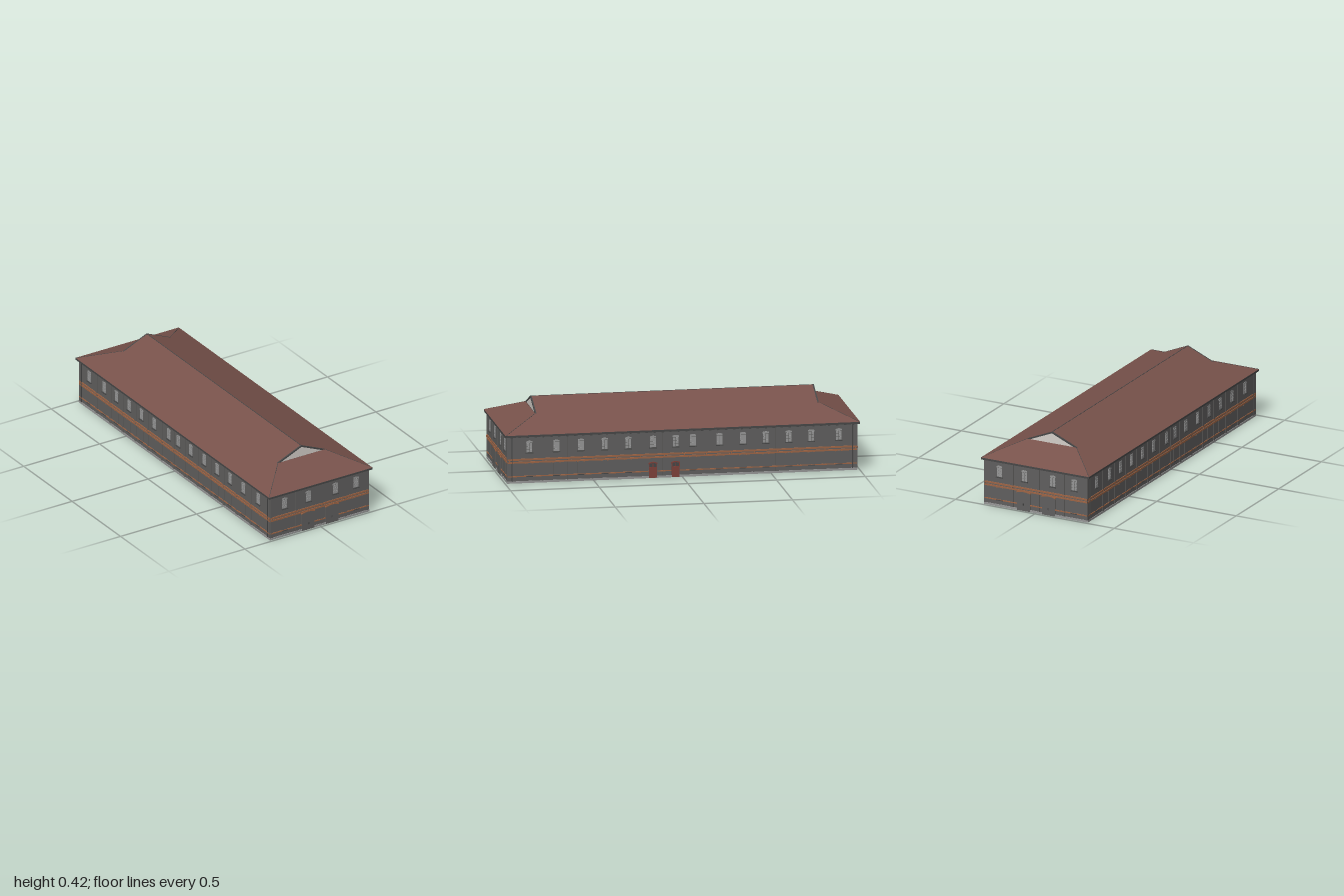
import * as THREE from 'three';

const material = (name, color, side = THREE.FrontSide) => {
  const m = new THREE.MeshStandardMaterial({ color, side });
  m.name = name;
  return m;
};
const mats = {
  wall: material('grey wall', 0x605f5e),
  dark: material('dark trim', 0x474747),
  roof: material('red brown roof', 0x78524b, THREE.DoubleSide),
  brick: material('orange brick', 0x9d6546),
  pale: material('light grey', 0x969696),
  gable: material('pale gable', 0xd4cfc9, THREE.DoubleSide),
  door: material('red door', 0x7f4039),
};

const HX = 0.324, HZ = 0.985;            // half sizes of the walls
const EX = 0.34, EZ = 1, EY = 0.275;     // eaves
const RY = 0.42, GX = 0.155, GY = 0.354, GZ = 0.8; // ridge and half gables

function add(parent, name, geometry, mat, x = 0, y = 0, z = 0) {
  const mesh = new THREE.Mesh(geometry, mat);
  mesh.name = name;
  mesh.position.set(x, y, z);
  parent.add(mesh);
  return mesh;
}

// Box on a facade: u across, y from y0 to y1, standing out by depth
function plate(parent, name, mat, u, y0, y1, width, depth) {
  return add(parent, name, new THREE.BoxGeometry(width, y1 - y0, depth), mat, u, (y0 + y1) / 2, depth / 2);
}

// Plate with a segmental arch top, and optionally an arched underside
function arched(parent, name, mat, u, y0, ySide, yTop, width, depth, underside = false) {
  const w = width / 2, s = new THREE.Shape();
  s.moveTo(-w, y0);
  if (underside) s.quadraticCurveTo(0, y0 + 2 * (yTop - ySide), w, y0);
  else s.lineTo(w, y0);
  s.lineTo(w, ySide);
  s.quadraticCurveTo(0, 2 * yTop - ySide, -w, ySide);
  s.closePath();
  return add(parent, name, new THREE.ExtrudeGeometry(s, { depth, bevelEnabled: false, curveSegments: 8 }), mat, u, 0, 0);
}

// Upper window: two columns of panes, arched head lights and a sill
function upperWindow(parent, u) {
  const g = new THREE.Group();
  g.name = 'upperWindow';
  g.position.x = u;
  parent.add(g);
  for (const s of [-1, 1]) {
    for (let r = 0; r < 3; r++) plate(g, 'pane', mats.pale, s * 0.0085, 0.175 + r * 0.0175, 0.191 + r * 0.0175, 0.015, 0.002);
  }
  arched(g, 'archHead', mats.pale, 0, 0.2285, 0.236, 0.24, 0.035, 0.002);
  plate(g, 'sill', mats.dark, 0, 0.169, 0.173, 0.042, 0.007);
}

// Blind ground floor window with sill and brick arch
function lowerWindow(parent, u) {
  arched(parent, 'blindWindow', mats.wall, u, 0.04, 0.107, 0.112, 0.036, 0.002);
  arched(parent, 'blindWindowArch', mats.brick, u, 0.109, 0.113, 0.117, 0.044, 0.003, true);
  plate(parent, 'lowerSill', mats.dark, u, 0.035, 0.039, 0.04, 0.007);
}

function facade(parent, name, halfWidth, angle, distance, layout) {
  const g = new THREE.Group();
  g.name = name;
  g.rotation.y = angle;
  g.position.set(Math.sin(angle) * distance, 0, Math.cos(angle) * distance);
  parent.add(g);
  const width = halfWidth * 2;
  plate(g, 'upperBrickBand', mats.brick, 0, 0.129, 0.139, width, 0.004);
  plate(g, 'lowerBrickBand', mats.brick, 0, 0.113, 0.1225, width, 0.004);

  // Thin band runs between the doors
  let from = -halfWidth;
  for (const u of [...layout.doors].sort((a, b) => a - b).concat(halfWidth + layout.doorWidth / 2)) {
    const to = u - layout.doorWidth / 2;
    plate(g, 'thinBrickBand', mats.brick, (from + to) / 2, 0.0355, 0.0415, to - from, 0.004);
    from = u + layout.doorWidth / 2;
  }

  layout.windows.forEach((u) => upperWindow(g, u));
  layout.blind.forEach((u) => lowerWindow(g, u));
  for (const u of layout.pilasters) {
    plate(g, 'pilaster', mats.wall, u, 0.012, 0.264, 0.017, 0.003);
    plate(g, 'wallAnchor', mats.brick, u, 0.121, 0.131, 0.005, 0.006);
  }
  for (const u of layout.doors) {
    if (layout.gates) {
      arched(g, 'gate', mats.wall, u, 0.001, 0.105, 0.113, layout.doorWidth, 0.005);
      arched(g, 'gateArch', mats.brick, u, 0.104, 0.11, 0.118, layout.doorWidth + 0.006, 0.006, true);
      for (const s of [-1, 1]) plate(g, 'gateHandle', mats.dark, u + s * 0.003, 0.033, 0.046, 0.002, 0.008);
    } else {
      plate(g, 'doorLeaf', mats.door, u, 0.001, 0.062, 0.044, 0.005);
      arched(g, 'doorFanlight', mats.dark, u, 0.062, 0.079, 0.085, 0.044, 0.003);
      arched(g, 'doorArch', mats.door, u, 0.078, 0.085, 0.092, 0.05, 0.005, true);
      for (const s of [-1, 0, 1]) plate(g, 'doorFrame', mats.door, u + s * 0.021, 0.06, 0.082, 0.004, 0.005);
    }
  }

  // Dentils under the long eaves
  for (let i = 0; i < layout.dentils; i++) {
    plate(g, 'dentil', mats.dark, -halfWidth + (i + 0.5) * width / layout.dentils, 0.258, 0.264, 0.012, 0.008);
  }
}

// Flat convex polygon drawn as a fan
function polygon(parent, name, mat, points) {
  const index = [];
  for (let i = 1; i < points.length - 1; i++) index.push(0, i, i + 1);
  const geo = new THREE.BufferGeometry();
  geo.setAttribute('position', new THREE.Float32BufferAttribute(points.flat(), 3));
  geo.setIndex(index);
  geo.computeVertexNormals();
  return add(parent, name, geo, mat);
}

// Square trim bar between two points
function bar(parent, name, a, b, size) {
  const p = new THREE.Vector3(...a), q = new THREE.Vector3(...b);
  const mesh = add(parent, name, new THREE.BoxGeometry(size, size, p.distanceTo(q)), mats.dark);
  mesh.position.copy(p).add(q).multiplyScalar(0.5);
  mesh.lookAt(q);
}

function buildRoof(parent) {
  const roof = new THREE.Group();
  roof.name = 'roof';
  parent.add(roof);
  add(roof, 'eaves', new THREE.BoxGeometry(EX * 2, 0.011, EZ * 2), mats.dark, 0, 0.269, 0);
  for (const s of [1, -1]) {
    // Long slope: tapered below the gable foot, straight above it
    polygon(roof, 'lowerSlope', mats.roof, [[s * EX, EY, s * EZ], [s * EX, EY, -s * EZ], [s * GX, GY, -s * GZ], [s * GX, GY, s * GZ]]);
    polygon(roof, 'upperSlope', mats.roof, [[s * GX, GY, s * GZ], [s * GX, GY, -s * GZ], [0, RY, -s * GZ], [0, RY, s * GZ]]);
    // Half hip and gable at each end
    polygon(roof, 'hipSlope', mats.roof, [[-s * EX, EY, s * EZ], [s * EX, EY, s * EZ], [s * GX, GY, s * GZ], [-s * GX, GY, s * GZ]]);
    polygon(roof, 'gable', mats.gable, [[-s * GX, GY - 0.002, s * 0.796], [s * GX, GY - 0.002, s * 0.796], [0, RY - 0.002, s * 0.796]]);
    for (const m of [1, -1]) {
      bar(roof, 'gableRake', [m * GX, GY - 0.004, s * 0.796], [0, RY - 0.004, s * 0.796], 0.008);
      bar(roof, 'hipTrim', [m * EX, EY - 0.001, s * (EZ - 0.002)], [m * GX, GY - 0.001, s * GZ], 0.003);
    }
  }
  add(roof, 'ridgeCap', new THREE.BoxGeometry(0.004, 0.003, GZ * 2), mats.dark, 0, RY - 0.001, 0);
}

export function createModel() {
  const model = new THREE.Group();
  model.name = 'longBuilding';
  add(model, 'walls', new THREE.BoxGeometry(HX * 2, 0.255, HZ * 2), mats.wall, 0, 0.1375, 0);
  add(model, 'plinth', new THREE.BoxGeometry(HX * 2 + 0.007, 0.012, HZ * 2 + 0.007), mats.pale, 0, 0.006, 0);

  const endLayout = {
    windows: [-0.23, -0.073, 0.105, 0.241], blind: [-0.23, 0.241],
    pilasters: [-0.317, -0.151, 0.015, 0.172, 0.317],
    doors: [-0.076, 0.081], doorWidth: 0.082, gates: true, dentils: 0,
  };
  facade(model, 'frontFacade', HX, 0, HZ, endLayout);
  facade(model, 'backFacade', HX, Math.PI, HZ, endLayout);

  // Long sides: one window per bay, pilasters between the bays
  const bays = [0.863, 0.71, 0.572, 0.438, 0.305, 0.166, 0.038, -0.06, -0.21, -0.342, -0.47, -0.6, -0.727, -0.882];
  const piers = bays.slice(1).map((z, i) => (z + bays[i]) / 2).concat([0.975, -0.975]);
  for (const s of [1, -1]) {
    const doors = s > 0 ? [0.166, 0.038] : [];
    const toU = (list) => list.map((z) => -s * z);
    facade(model, s > 0 ? 'leftFacade' : 'rightFacade', HZ, s * Math.PI / 2, HX, {
      windows: toU(bays), blind: toU(bays.filter((z) => !doors.includes(z))),
      pilasters: toU(piers), doors: toU(doors), doorWidth: 0.05, gates: false, dentils: 44,
    });
    // Corner downpipes
    for (const e of [1, -1]) {
      add(model, 'downpipe', new THREE.CylinderGeometry(0.003, 0.003, 0.253, 8), mats.dark, s * (HX + 0.003), 0.1375, e * (HZ - 0.025));
    }
  }
  buildRoof(model);
  return model;
}
